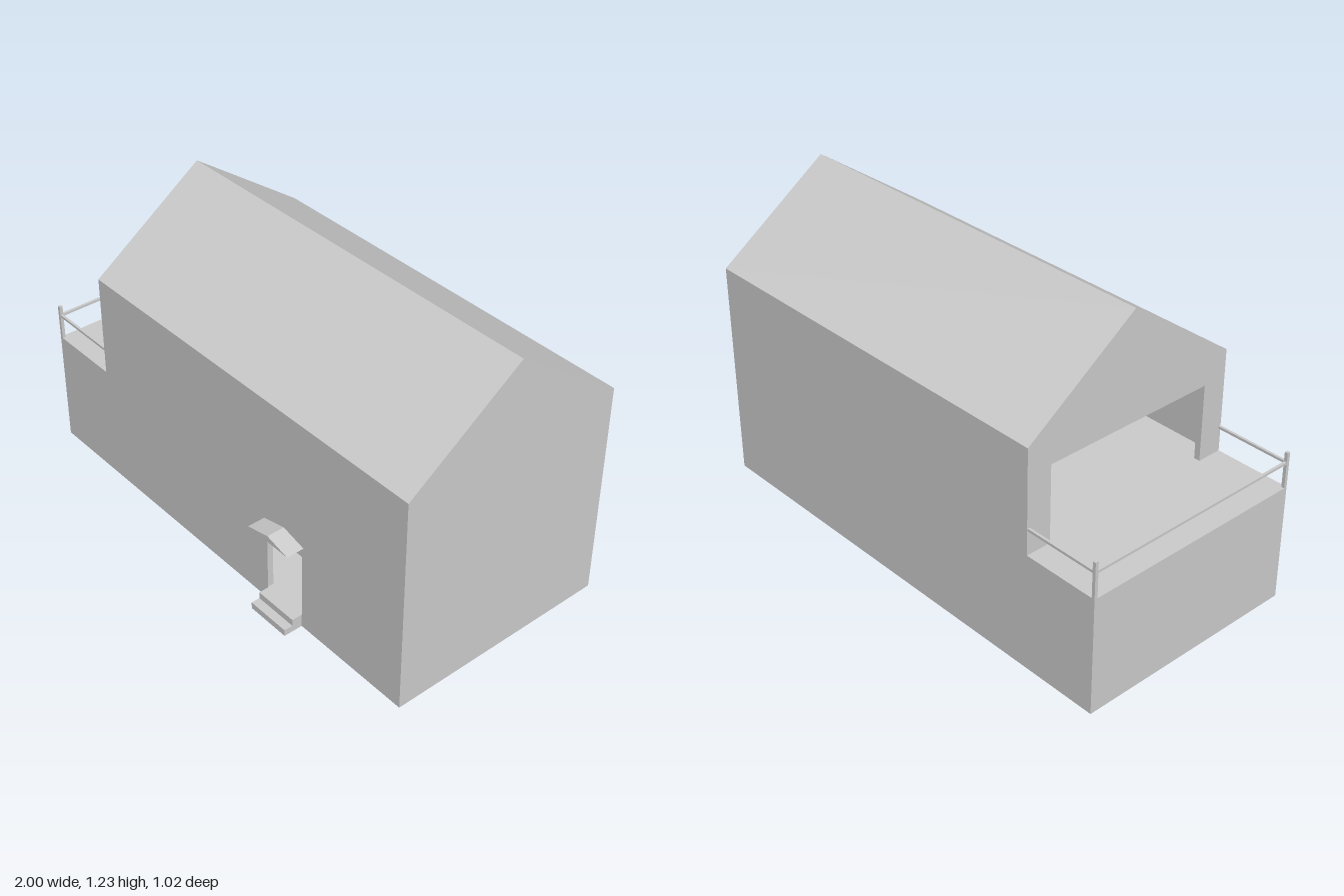
import * as THREE from 'three';

// Main dimensions
const FRONT = 0.433, BACK = -0.51, RIDGE_Z = -0.0385;
const EAVE = 0.897, RIDGE = 1.23, DECK = 0.477, HOUSE_X = -0.685;
const T = 0.025, ROOF = 0.03, SILL = 0.055;

export function createModel() {
  const model = new THREE.Group();
  model.name = 'house';
  const plaster = new THREE.MeshStandardMaterial({ color: 0xcccccc });
  plaster.name = 'light grey';

  const add = (name, geometry) => {
    const mesh = new THREE.Mesh(geometry, plaster);
    mesh.name = name;
    model.add(mesh);
    return mesh;
  };
  // Box from its minimum and maximum corners
  const box = (name, x0, x1, y0, y1, z0, z1) =>
    add(name, new THREE.BoxGeometry(x1 - x0, y1 - y0, z1 - z0)
      .translate((x0 + x1) / 2, (y0 + y1) / 2, (z0 + z1) / 2));
  const outline = (points) => new THREE.Shape(points.map(([u, v]) => new THREE.Vector2(u, v)));
  // Outline in x, y pushed from z0 to z1
  const prismZ = (name, shape, z0, z1) =>
    add(name, new THREE.ExtrudeGeometry(shape, { depth: z1 - z0, bevelEnabled: false }).translate(0, 0, z0));
  // Outline in z, y pushed from x0 to x1
  const prismX = (name, points, x0, x1) =>
    add(name, new THREE.ExtrudeGeometry(outline(points.map(([z, y]) => [-z, y])),
      { depth: x1 - x0, bevelEnabled: false }).rotateY(Math.PI / 2).translate(x0, 0, 0));

  // Long walls, stepped down beside the terrace; the front one has the doorway
  const wallTop = EAVE - 0.01;
  const wallShape = () => outline([
    [-1, 0], [1, 0], [1, wallTop], [HOUSE_X, wallTop], [HOUSE_X, DECK], [-1, DECK],
  ]);
  const front = wallShape();
  front.holes.push(new THREE.Path([[0.295, SILL], [0.295, 0.33], [0.488, 0.33], [0.488, SILL]]
    .map(([x, y]) => new THREE.Vector2(x, y))));
  prismZ('frontWall', front, FRONT - T, FRONT);
  prismZ('backWall', wallShape(), BACK, BACK + T);

  // End walls fitted between the long walls
  const zf = FRONT - T, zb = BACK + T;
  const slope = (RIDGE - EAVE) / (FRONT - RIDGE_Z);
  const under = EAVE - ROOF + T * slope;
  const gableTop = [[zf, under], [RIDGE_Z, RIDGE - ROOF], [zb, under]];
  prismX('gableWall', [[zb, 0], [zf, 0], ...gableTop], 1 - T, 1);
  prismX('terraceGable', [
    [zb, DECK], [-0.406, DECK], [-0.406, 0.79], [0.33, 0.79], [0.33, DECK], [zf, DECK], ...gableTop,
  ], HOUSE_X, HOUSE_X + T);
  box('terraceEndWall', -1, -1 + T, 0, DECK, zb, zf);

  // Floors
  box('groundFloor', -1 + T, 1 - T, 0, SILL, zb, zf);
  box('terraceDeck', -1 + T, 1 - T, DECK - T, DECK, zb, zf);

  // Pitched roof
  prismX('roof', [
    [FRONT, EAVE], [RIDGE_Z, RIDGE], [BACK, EAVE],
    [BACK, EAVE - ROOF], [RIDGE_Z, RIDGE - ROOF], [FRONT, EAVE - ROOF],
  ], HOUSE_X, 1);

  // Terrace railing: corner posts and a single rail round three sides
  const P = 0.013, R = 0.01;
  for (const [side, z] of [['front', FRONT - P], ['back', BACK]]) {
    box(side + 'Post', -1, -1 + P, DECK, 0.622, z, z + P);
    box(side + 'Rail', -1 + P, HOUSE_X, 0.575, 0.575 + R, z + 0.0015, z + 0.0015 + R);
  }
  box('endRail', -0.9985, -0.9985 + R, 0.575, 0.575 + R, BACK + P, FRONT - P);

  // Doorstep and gabled door canopy
  box('upperStep', 0.298, 0.485, 0.027, SILL, FRONT, 0.476);
  box('lowerStep', 0.298, 0.485, 0, 0.027, FRONT, 0.512);
  prismZ('doorCanopy', outline([[0.281, 0.374], [0.496, 0.374], [0.389, 0.4]]), FRONT, 0.506);

  return model;
}
